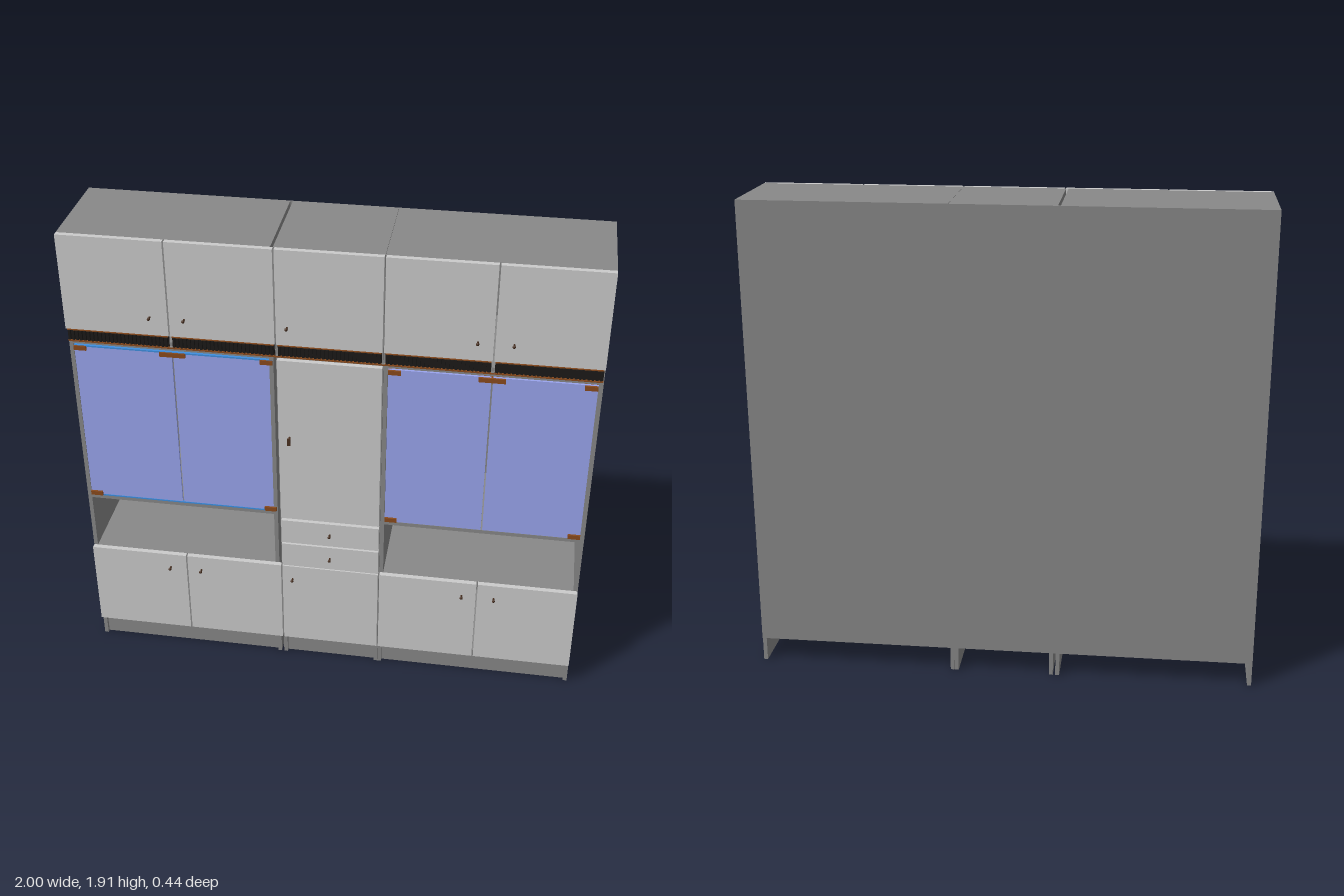
import * as THREE from 'three';

const mat = (color) => new THREE.MeshStandardMaterial({ color });

export function createModel() {
  const root = new THREE.Group();
  root.name = 'wallCabinet';
  const carcass = mat(0x888888), front = mat(0xcccccc), glass = mat(0x9aa5ee);
  const bronze = mat(0x8a4a1c), dark = mat(0x1c1a18), knobMat = mat(0x4a3020), blue = mat(0x3f8fe0);

  // Box given by its limits on each axis
  function box(name, x0, x1, y0, y1, z0, z1, material, parent = root) {
    const m = new THREE.Mesh(new THREE.BoxGeometry(x1 - x0, y1 - y0, z1 - z0), material);
    m.position.set((x0 + x1) / 2, (y0 + y1) / 2, (z0 + z1) / 2);
    m.name = name;
    parent.add(m);
    return m;
  }

  const T = 0.016, ZB = -0.215, ZF = 0.18, TOP = 1.91, SEAM = 1.47;

  // Back panel, clear of the floor
  box('backPanel', -1, 1, 0.1, TOP, -0.22, ZB, carcass);

  // Three carcass units: side panels, shelves and plinth
  const units = [['left', 0.2, 1], ['centre', -0.203, 0.199], ['right', -1, -0.213]];
  for (const [label, x0, x1] of units) {
    const unit = new THREE.Group();
    unit.name = label + 'Unit';
    root.add(unit);
    for (const x of [x0, x1 - T]) {
      box('lowerSide', x, x + T, 0, SEAM - 0.002, ZB, ZF, carcass, unit);
      box('upperSide', x, x + T, SEAM + 0.002, TOP, ZB, ZF, carcass, unit);
    }
    const levels = [0.1, 0.469, 0.73, 1.452, 1.472, TOP - T];
    for (const y of levels) {
      box('shelf', x0 + T, x1 - T, y, y + T, ZB, ZF, carcass, unit);
    }
    box('plinth', x0 + T, x1 - T, 0, 0.1, 0.15, 0.166, carcass, unit);
  }

  // Small turned knob facing forward
  const knobProfile = [[0, 0], [0.004, 0], [0.003, 0.012], [0.006, 0.015], [0.006, 0.019], [0, 0.022]]
    .map(([r, h]) => new THREE.Vector2(r, h));
  const knobGeo = new THREE.LatheGeometry(knobProfile, 12);
  knobGeo.rotateX(Math.PI / 2);
  function knob(x, y) {
    const m = new THREE.Mesh(knobGeo, knobMat);
    m.position.set(x, y, 0.199);
    m.name = 'knob';
    root.add(m);
  }

  // Solid doors and ventilation grilles along the five columns
  const edges = [-1, -0.6, -0.2, 0.2, 0.6, 1];
  const knobX = [-0.67, -0.54, -0.155, 0.54, 0.67];
  for (let i = 0; i < 5; i++) {
    const x0 = edges[i] + (i ? 0.003 : 0), x1 = edges[i + 1] - (i < 4 ? 0.003 : 0);
    box('lowerDoor', x0, x1, 0.1, 0.485, ZF, 0.2, front);
    box('upperDoor', x0, x1, 1.525, TOP, ZF, 0.2, front);
    knob(knobX[i], 0.42);
    knob(knobX[i], 1.6);

    const grille = new THREE.Group();
    grille.name = 'grille';
    root.add(grille);
    const g0 = x0 + 0.004, g1 = x1 - 0.004, slats = 26, step = (g1 - g0) / slats;
    box('grilleBack', g0, g1, 1.475, 1.518, 0.178, 0.19, dark, grille);
    for (let s = 0; s < slats; s++) {
      const x = g0 + (s + 0.5) * step;
      box('slat', x - step * 0.3, x + step * 0.3, 1.478, 1.516, 0.19, 0.2, dark, grille);
    }
    box('grilleTrim', g0, g1, 1.518, 1.522, 0.178, 0.198, bronze, grille);
    box('grilleTrim', g0, g1, 1.471, 1.475, 0.178, 0.198, bronze, grille);
  }
  box('bronzeStrip', -0.99, 0.99, 1.461, 1.465, 0.178, 0.183, bronze);

  // Tall centre door with its pull, and two drawers
  box('centreDoor', -0.197, 0.197, 0.73, 1.458, ZF, 0.2, front);
  for (const y of [1.1, 1.12]) {
    box('pullPost', -0.157, -0.151, y - 0.003, y + 0.003, 0.2, 0.216, knobMat);
  }
  box('pullBar', -0.16, -0.148, 1.095, 1.125, 0.214, 0.222, knobMat);
  for (const [y0, y1, ky] of [[0.49, 0.6, 0.545], [0.608, 0.718, 0.665]]) {
    box('drawerFront', -0.197, 0.197, y0, y1, ZF, 0.2, front);
    knob(0, ky);
  }

  // Glass doors with bronze hinges
  for (const side of [-1, 1]) {
    const span = (name, a, b, y0, y1, z0, z1, material) =>
      box(name, Math.min(a * side, b * side), Math.max(a * side, b * side), y0, y1, z0, z1, material);
    span('glassDoor', 0.217, 0.597, 0.745, 1.445, 0.17, 0.179, glass);
    span('glassDoor', 0.603, 0.983, 0.745, 1.445, 0.17, 0.179, glass);
    for (const y of [0.757, 1.435]) {
      span('hinge', 0.217, 0.265, y - 0.009, y + 0.009, 0.165, 0.187, bronze);
      span('hinge', 0.935, 0.983, y - 0.009, y + 0.009, 0.165, 0.187, bronze);
    }
    span('catchPlate', 0.55, 0.65, 1.426, 1.444, 0.165, 0.187, bronze);
  }
  for (const y of [0.745, 1.44]) {
    box('blueEdge', -0.983, -0.217, y, y + 0.006, 0.17, 0.181, blue);
  }

  return root;
}
